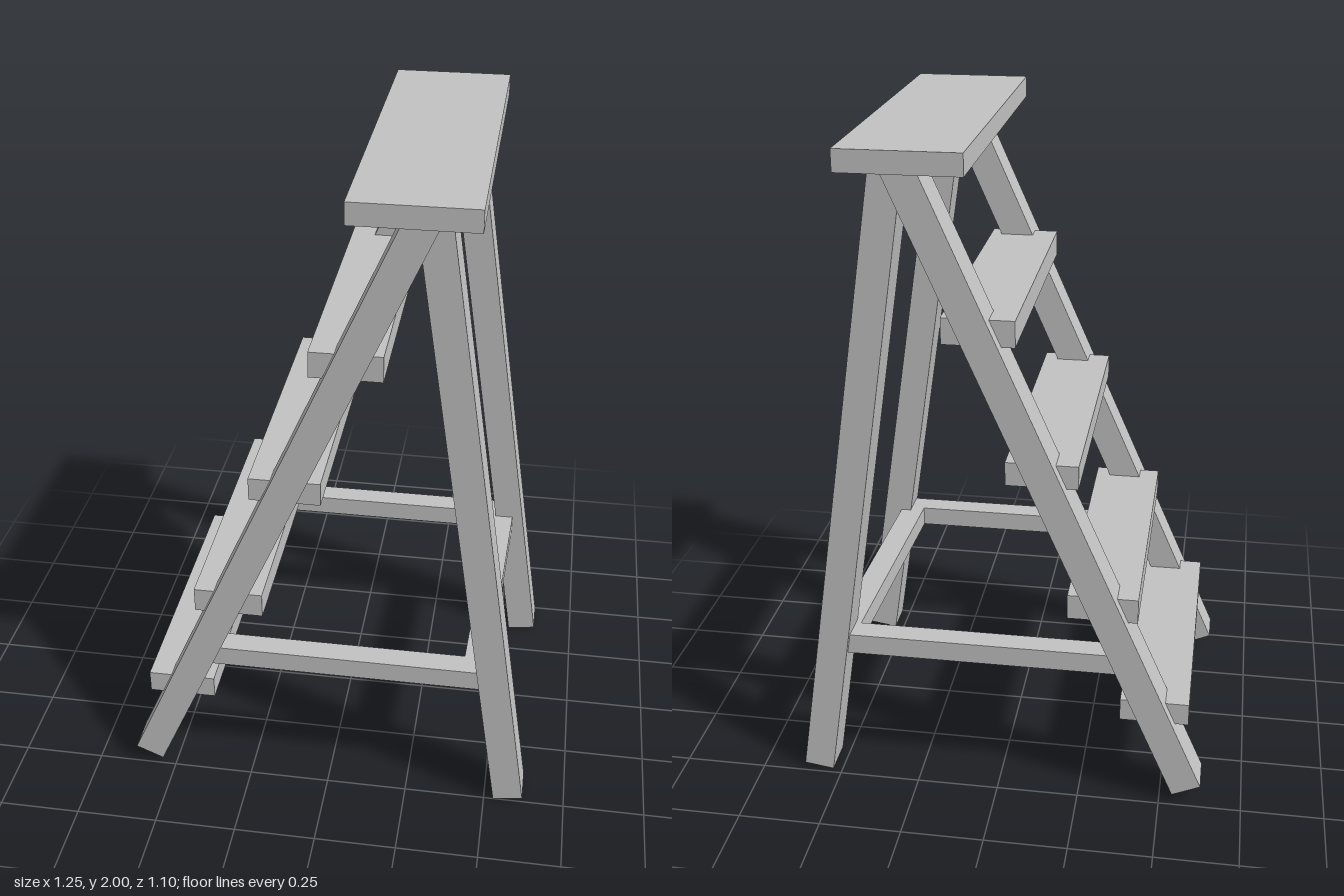
import * as THREE from 'three';

export function createModel() {
  const model = new THREE.Group();
  model.name = 'stepLadder';
  const greyWood = new THREE.MeshStandardMaterial({ color: 0xc2c2c2 });
  greyWood.name = 'greyWood';

  // Box given by its extents on each axis
  function board(name, [x0, x1], [y0, y1], [z0, z1]) {
    const mesh = new THREE.Mesh(new THREE.BoxGeometry(x1 - x0, y1 - y0, z1 - z0), greyWood);
    mesh.position.set((x0 + x1) / 2, (y0 + y1) / 2, (z0 + z1) / 2);
    mesh.name = name;
    model.add(mesh);
    return mesh;
  }

  // Square-cut beam leaning in the xy plane, from its bottom centre to its top centre
  function leg(name, [xa, ya], [xb, yb], width, [z0, z1]) {
    const length = Math.hypot(xb - xa, yb - ya);
    const mesh = board(name, [-width / 2, width / 2], [-length / 2, length / 2], [z0, z1]);
    mesh.position.x = (xa + xb) / 2;
    mesh.position.y = (ya + yb) / 2;
    mesh.rotation.z = -Math.atan2(xb - xa, yb - ya);
  }

  // Top platform
  board('topPlatform', [0.065, 0.413], [1.937, 2], [-0.55, 0.547]);

  // Sloped climbing legs, steep support legs and the rails joining them
  const sides = [
    { side: 'left', climb: [0.388, 0.504], support: [0.386, 0.5], rail: 0.445 },
    { side: 'right', climb: [-0.488, -0.37], support: [-0.481, -0.366], rail: -0.426 },
  ];
  for (const { side, climb, support, rail } of sides) {
    leg(side + 'ClimbingLeg', [-0.582, 0.046], [0.27, 1.966], 0.093, climb);
    leg(side + 'SupportLeg', [0.575, 0.007], [0.285, 1.966], 0.092, support);
    board(side + 'SideRail', [-0.38, 0.49], [0.426, 0.489], [rail - 0.037, rail + 0.037]);
  }

  // Treads pass through the climbing legs
  const treads = [
    [-0.578, -0.37, 0.26, 0.33],
    [-0.415, -0.205, 0.6, 0.677],
    [-0.233, -0.021, 1.023, 1.095],
    [-0.052, 0.157, 1.442, 1.52],
  ];
  treads.forEach(([x0, x1, y0, y1], i) => {
    board('tread' + (i + 1), [x0, x1], [y0, y1], [-0.45, 0.446]);
  });

  // Slightly skewed rail between the support legs
  const rearRail = board('rearRail', [0.427, 0.503], [0.426, 0.489], [-0.42, 0.44]);
  rearRail.rotation.y = -0.033;
  rearRail.rotation.y *= -1;
  rearRail.rotation.y = -Math.atan2(0.025, 0.75);

  return model;
}
